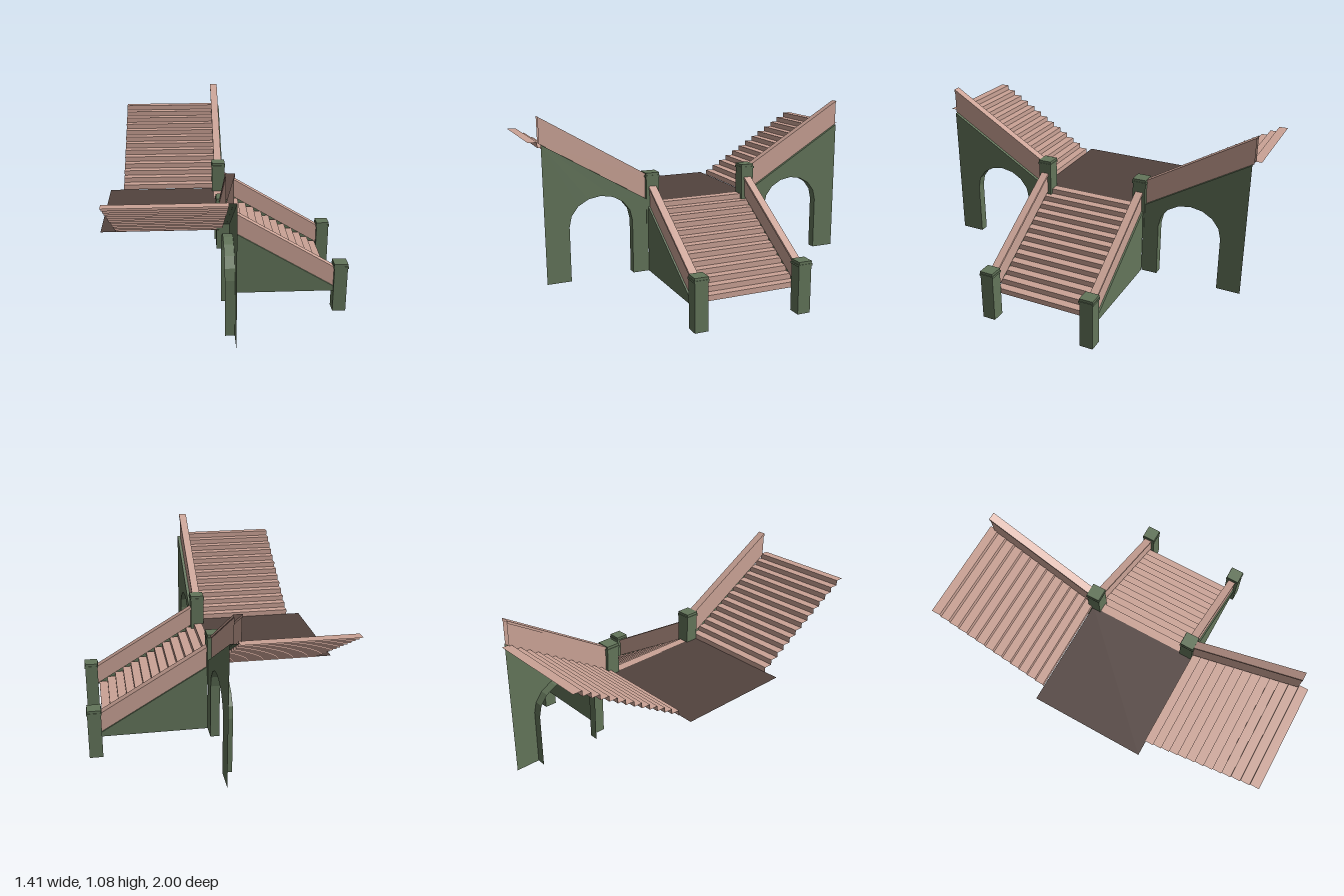
import * as THREE from 'three';

const mat = (color) => new THREE.MeshStandardMaterial({ color, side: THREE.DoubleSide, flatShading: true });
const PINK = mat(0xcba396), GREEN = mat(0x63755a), DARK = mat(0x52433e);

// Open sheet: a path of [x, y, z] points swept along an offset
function sweep(path, [ox, oy, oz], flip = false) {
  const pos = [];
  for (let i = 0; i + 1 < path.length; i++) {
    const a = path[i], b = path[i + 1];
    const move = (p) => [p[0] + ox, p[1] + oy, p[2] + oz];
    const c = move(b), d = move(a);
    pos.push(...(flip ? [a, c, b, a, d, c] : [a, b, c, a, c, d]).flat());
  }
  const g = new THREE.BufferGeometry();
  g.setAttribute('position', new THREE.Float32BufferAttribute(pos, 3));
  g.computeVertexNormals();
  return g;
}

// Flat panel from 2D corners, turned about y
function panel(points, turn) {
  const shape = new THREE.Shape(points.map(([u, v]) => new THREE.Vector2(u, v)));
  return new THREE.ShapeGeometry(shape).rotateY(turn);
}

function add(parent, name, geometry, material) {
  const m = new THREE.Mesh(geometry, material);
  m.name = name;
  parent.add(m);
  return m;
}

// Stair profile as [run, height] pairs
function stairProfile(start, end, y0, y1, count) {
  const pts = [[start, y0]];
  for (let i = 1; i <= count; i++) {
    const y = y0 + ((y1 - y0) * i) / count;
    pts.push([start + ((end - start) * (i - 1)) / count, y], [start + ((end - start) * i) / count, y]);
  }
  return pts;
}

// Handrail cross-section as [across, height] with a slightly wider cap
const railProfile = (h) => [
  [-0.018, 0], [-0.018, h - 0.015], [-0.023, h - 0.015], [-0.023, h],
  [0.023, h], [0.023, h - 0.015], [0.018, h - 0.015], [0.018, 0],
];

// Square post with a collar and cap
function post(name, x, z, bottom, top) {
  const g = new THREE.Group();
  g.name = name;
  const box = (n, w, y0, y1) => {
    const m = add(g, n, new THREE.BoxGeometry(w, y1 - y0, w), GREEN);
    m.position.set(x, (y0 + y1) / 2, z);
  };
  box('postShaft', 0.078, bottom, top - 0.027);
  box('postCollar', 0.086, top - 0.027, top - 0.015);
  box('postCap', 0.08, top - 0.015, top);
  return g;
}

export function createModel() {
  const model = new THREE.Group();
  model.name = 'staircase';

  // Landing
  const landing = add(model, 'landing', new THREE.PlaneGeometry(0.66, 0.68).rotateX(-Math.PI / 2), DARK);
  landing.position.set(-0.375, 0.537, 0.003);

  // Lower flight
  const lower = stairProfile(0.615, -0.05, 0.13, 0.537, 13).map(([x, y]) => [x, y, -0.315]);
  add(model, 'lowerFlight', sweep(lower, [0, 0, 0.61]), PINK);

  const sides = new THREE.Group();
  sides.name = 'sides';
  sides.position.z = -0.01;
  model.add(sides);

  for (const s of [1, -1]) {
    const side = s > 0 ? 'left' : 'right';

    // Upper flight
    const upper = stairProfile(0.34, 1, 0.537, 0.935, 13).map(([z, y]) => [-0.622, y, s * z]);
    add(model, side + 'UpperFlight', sweep(upper, [0.594, 0, 0], s < 0), PINK);

    // Posts
    sides.add(post(side + 'LowerPost', 0.662, s * 0.311, 0, 0.302));
    sides.add(post(side + 'UpperPost', -0.02, s * 0.311, 0.42, 0.722));

    // Lower flight: side wall, ledge and sloping rail
    const u = (x) => s * x;
    add(sides, side + 'LowerWall', panel(
      [[u(0.015), 0.13], [u(0.625), 0.13], [u(0.625), 0.157], [u(0.015), 0.525]],
      s > 0 ? 0 : Math.PI), GREEN).position.z = s * 0.34;
    const slope = [0.61, -0.368, 0];
    add(sides, side + 'LowerLedge', sweep(
      [[0.015, 0.525, s * 0.34], [0.015, 0.525, s * 0.295]], slope, s > 0), GREEN);
    const lowRail = railProfile(0.12).map(([c, y]) => [0.015, 0.525 + y, s * 0.312 + c]);
    add(sides, side + 'LowerRail', sweep(lowRail, slope), PINK);

    // Arched wall: face, lining of the arch and sloping ledge
    const arch = [[0.81, 0.13], [0.81, 0.45]];
    for (let i = 1; i < 8; i++) {
      const a = (Math.PI * i) / 8;
      arch.push([0.6235 + 0.1865 * Math.cos(a), 0.45 + 0.163 * Math.sin(a)]);
    }
    arch.push([0.437, 0.45], [0.437, 0.13]);
    const outline = [[0.34, 0.13], [0.34, 0.563], [0.95, 0.927], [0.95, 0.13], ...arch];
    add(sides, side + 'ArchWall', panel(outline.map(([z, y]) => [-s * z, y]), Math.PI / 2), GREEN)
      .position.x = 0.014;
    add(sides, side + 'ArchLining', sweep(
      arch.map(([z, y]) => [0.014, y, s * z]), [-0.052, 0, 0], s < 0), GREEN);
    add(sides, side + 'ArchLedge', sweep(
      [[0.014, 0.563, s * 0.34], [-0.04, 0.563, s * 0.34]], [0, 0.364, s * 0.61], s < 0), GREEN);

    // Upper rail
    const upRail = railProfile(0.148).map(([c, y]) => [-0.022 + c, 0.563 + y, s * 0.34]);
    add(sides, side + 'UpperRail', sweep(upRail, [0, 0.367, s * 0.617], s > 0), PINK);
  }
  return model;
}
